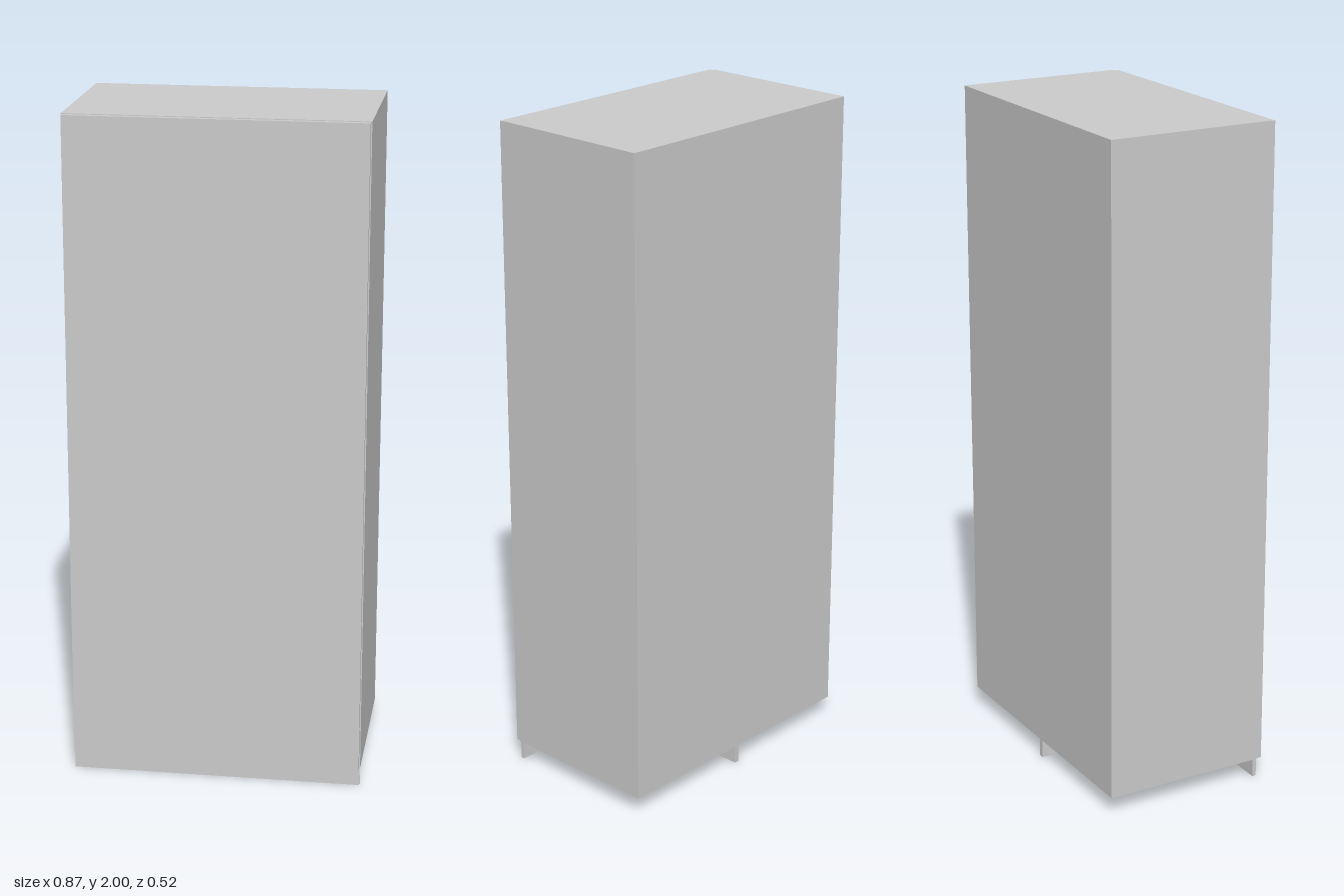
import * as THREE from 'three';

export function createModel() {
  const group = new THREE.Group();
  const material = new THREE.MeshStandardMaterial({ color: 0xcccccc });

  // Adds a box given its extents along each axis.
  function addPanel(name, [x0, x1], [y0, y1], [z0, z1]) {
    const mesh = new THREE.Mesh(new THREE.BoxGeometry(x1 - x0, y1 - y0, z1 - z0), material);
    mesh.position.set((x0 + x1) / 2, (y0 + y1) / 2, (z0 + z1) / 2);
    mesh.name = name;
    group.add(mesh);
  }

  const base = 0.056; // height of the plinth
  const back = -0.26;

  // Cabinet body
  addPanel('cabinetBody', [-0.434, 0.434], [base, 2], [back, 0.242]);
  // Slightly narrower door, with a hairline gap to the body
  addPanel('door', [-0.431, 0.431], [base, 1.998], [0.244, 0.26]);
  // Kickboard below the door and the central rail behind it
  addPanel('kickboard', [-0.432, 0.432], [0, base], [0.23, 0.242]);
  addPanel('centreRail', [-0.008, 0.008], [0, base], [back, 0.23]);

  return group;
}
